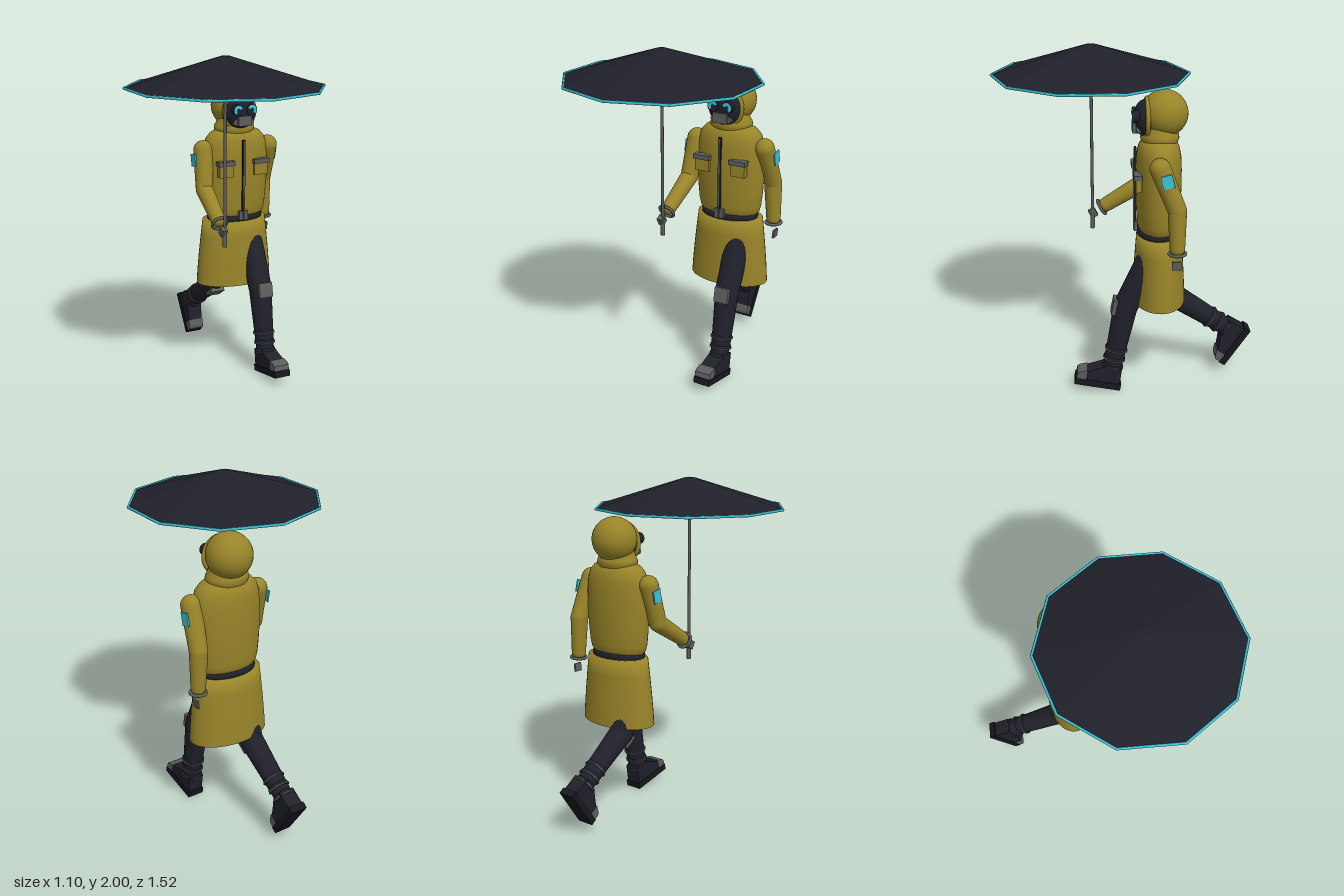
import * as THREE from 'three';

const mat = (name, color, side = THREE.FrontSide) => {
  const m = new THREE.MeshStandardMaterial({ color, side });
  m.name = name;
  return m;
};

const V = (x, y, z) => new THREE.Vector3(x, y, z);

export function createModel() {
  const yellow = mat('coat yellow', 0x988429, THREE.DoubleSide);
  const dark = mat('dark navy', 0x20202b, THREE.DoubleSide);
  const black = mat('sole black', 0x17171d);
  const grey = mat('grey', 0x5c5e5d);
  const teal = mat('teal', 0x3cc4d6);

  const model = new THREE.Group();
  model.name = 'walkerWithUmbrella';

  const add = (name, geo, material, x = 0, y = 0, z = 0, parent = model) => {
    const m = new THREE.Mesh(geo, material);
    m.name = name;
    m.position.set(x, y, z);
    parent.add(m);
    return m;
  };
  const box = (name, w, h, d, material, x, y, z, parent) =>
    add(name, new THREE.BoxGeometry(w, h, d), material, x, y, z, parent);

  // Elliptical shell turned from [radius, y] points
  const shell = (name, pts, material, x, z, squash) => {
    const m = add(name, new THREE.LatheGeometry(pts.map((p) => new THREE.Vector2(...p)), 40), material, x, 0, z);
    m.scale.z = squash;
    return m;
  };

  // Tapered limb with round ends, running from a to b
  const limb = (name, a, b, ra, rb, material, parent) => {
    const len = a.distanceTo(b);
    const pts = [];
    for (let i = 0; i <= 8; i++) {
      const t = (i / 8 - 1) * Math.PI / 2;
      pts.push(new THREE.Vector2(Math.max(ra * Math.cos(t), 0), ra * Math.sin(t)));
    }
    for (let i = 0; i <= 8; i++) {
      const t = (i / 8) * Math.PI / 2;
      pts.push(new THREE.Vector2(Math.max(rb * Math.cos(t), 0), len + rb * Math.sin(t)));
    }
    const m = add(name, new THREE.LatheGeometry(pts, 24), material, a.x, a.y, a.z, parent);
    m.quaternion.setFromUnitVectors(V(0, 1, 0), b.clone().sub(a).normalize());
    return m;
  };

  // Side profile (forward, up) given a width across x
  const sidePlate = (pts, width) => {
    const g = new THREE.ExtrudeGeometry(new THREE.Shape(pts.map((p) => new THREE.Vector2(...p))),
      { depth: width, bevelEnabled: false });
    return g.translate(0, 0, -width / 2).rotateY(-Math.PI / 2);
  };

  // Umbrella
  const ux = -0.005, uz = 0.19;
  const canopy = new THREE.CylinderGeometry(0.025, 0.566, 0.17, 10, 1, true).toNonIndexed();
  canopy.computeVertexNormals();
  add('umbrellaCanopy', canopy, dark, ux, 1.915, uz);
  const cap = add('umbrellaCap', new THREE.CircleGeometry(0.025, 10), dark, ux, 2, uz);
  cap.rotation.set(-Math.PI / 2, 0, Math.PI / 2);
  const rim = add('umbrellaRim', new THREE.TorusGeometry(0.565, 0.008, 6, 10), teal, ux, 1.83, uz);
  rim.rotation.set(-Math.PI / 2, 0, Math.PI / 2);
  add('umbrellaPole', new THREE.CylinderGeometry(0.009, 0.009, 1.0, 12), grey, ux, 1.48, uz);
  add('umbrellaHandle', new THREE.CylinderGeometry(0.013, 0.013, 0.1, 12), grey, ux, 0.945, uz);

  // Coat
  const cx = 0.242, cz = -0.18;
  shell('coatTorso', [[0, 0.972], [0.15, 0.974], [0.175, 0.985], [0.19, 1.005], [0.199, 1.04], [0.207, 1.12],
    [0.213, 1.22], [0.213, 1.34], [0.206, 1.42], [0.19, 1.47], [0.16, 1.503], [0.11, 1.525], [0, 1.53]],
  yellow, cx, cz, 0.61);
  shell('coatSkirt', [[0.248, 0.55], [0.243, 0.63], [0.232, 0.75], [0.22, 0.86], [0.208, 0.96], [0, 0.96]],
    yellow, cx, -0.187, 0.62);
  shell('belt', [[0.155, 0.95], [0.176, 0.955], [0.18, 0.972], [0.176, 0.99], [0.155, 0.995]], dark, cx, cz, 0.68);
  box('beltBuckle', 0.06, 0.055, 0.02, grey, 0.237, 1.0, -0.052);
  box('zipper', 0.018, 0.5, 0.012, dark, 0.237, 1.217, -0.048);
  box('zipperTeeth', 0.008, 0.49, 0.006, grey, 0.237, 1.217, -0.041);
  for (const s of [-1, 1]) {
    const pocket = new THREE.Group();
    pocket.name = 'chestPocket';
    pocket.position.set(0.237 + s * 0.117, 0, -0.06);
    box('pocketBag', 0.092, 0.085, 0.034, yellow, 0, 1.29, 0, pocket);
    box('pocketFlap', 0.106, 0.028, 0.045, grey, 0, 1.332, 0.005, pocket);
    model.add(pocket);
  }

  // Hood, collar and masked face
  const hx = 0.238;
  add('hood', new THREE.SphereGeometry(0.132, 36, 24), yellow, hx, 1.658, -0.21);
  shell('collar', [[0.118, 1.5], [0.127, 1.52], [0.125, 1.54], [0.113, 1.56], [0.1, 1.6]], yellow, hx, -0.185, 0.86);
  const hoodRim = add('hoodRim', new THREE.TorusGeometry(0.102, 0.013, 12, 36), yellow, hx, 1.635, -0.113);
  hoodRim.scale.y = 1.04;
  const face = add('face', new THREE.SphereGeometry(0.1, 28, 20), dark, hx, 1.632, -0.105);
  face.scale.set(0.97, 1.04, 0.68);
  const disc = (name, r, d, material, x, y, z) => {
    add(name, new THREE.CylinderGeometry(r, r, d, 20), material, x, y, z).rotation.x = Math.PI / 2;
  };
  for (const s of [-1, 1]) {
    disc('goggle', 0.034, 0.04, dark, hx + s * 0.045, 1.65, -0.053);
    const glow = add('goggleGlow', new THREE.TorusGeometry(0.02, 0.011, 8, 18, Math.PI * 1.15), teal,
      hx + s * 0.045, 1.65, -0.034);
    glow.rotation.z = s > 0 ? -0.9 : 0.9 - Math.PI * 0.15;
    glow.scale.z = 0.4;
    disc('maskFilter', 0.02, 0.03, grey, hx + s * 0.046, 1.575, -0.065);
  }
  box('respirator', 0.088, 0.06, 0.05, grey, hx, 1.585, -0.055);

  // Arms: shoulder, elbow, wrist
  const arm = (side, shoulder, elbow, wrist, patchX, patchZ, tilt) => {
    limb(side + 'UpperArm', shoulder, elbow, 0.059, 0.053, yellow);
    limb(side + 'Forearm', elbow, wrist, 0.053, 0.043, yellow);
    const dir = wrist.clone().sub(elbow).normalize();
    const c = wrist.clone().addScaledVector(dir, 0.03);
    const cuff = add(side + 'Cuff', new THREE.TorusGeometry(0.046, 0.009, 10, 28), grey, c.x, c.y, c.z);
    cuff.quaternion.setFromUnitVectors(V(0, 0, 1), dir);
    const patch = box(side + 'SleevePatch', 0.009, 0.075, 0.062, teal, patchX, 1.348, patchZ);
    patch.rotation.x = tilt;
  };
  arm('left', V(0.463, 1.405, -0.17), V(0.481, 1.17, -0.265), V(0.49, 0.95, -0.268), 0.524, -0.207, 0.25);
  arm('right', V(0.02, 1.405, -0.165), V(0.002, 1.175, -0.105), V(-0.01, 1.04, 0.11), -0.042, -0.163, -0.2);
  box('leftHand', 0.012, 0.05, 0.052, grey, 0.505, 0.853, -0.265).rotation.z = -0.1;
  box('rightHand', 0.034, 0.05, 0.042, grey, -0.014, 0.988, 0.187).rotation.x = 0.5;

  // Legs: thigh in place, shin and boot share a frame hung from the knee
  const leg = (side, hip, knee, angle, thighR) => {
    limb(side + 'Thigh', hip, knee, thighR, 0.072, dark);
    const g = new THREE.Group();
    g.name = side + 'LowerLeg';
    g.position.copy(knee);
    g.rotation.x = angle;
    model.add(g);
    limb('shin', V(0, 0, 0), V(0, -0.39, 0), 0.071, 0.055, dark, g);
    box('kneePad', 0.09, 0.092, 0.025, grey, 0, -0.005, 0.066, g);
    [0.28, 0.343, 0.4].forEach((d, i) => {
      const roll = add('ankleRoll', new THREE.TorusGeometry(0.046, 0.018, 10, 28), dark, 0, -d + 0.008, 0, g);
      const band = add('ankleBand', new THREE.TorusGeometry(0.064 - i * 0.002, 0.005, 8, 28), grey, 0, -d, 0, g);
      roll.rotation.x = band.rotation.x = Math.PI / 2;
    });
    add('boot', sidePlate([[-0.06, -0.505], [0.19, -0.505], [0.19, -0.458], [0.13, -0.43],
      [0.07, -0.4], [0.045, -0.385], [-0.055, -0.385]], 0.096), dark, 0, 0, 0, g);
    add('toeCap', sidePlate([[0.145, -0.49], [0.2, -0.49], [0.2, -0.458], [0.187, -0.446], [0.145, -0.43]], 0.1),
      grey, 0, 0, 0, g);
    box('sole', 0.104, 0.04, 0.275, black, 0, -0.509, 0.068, g);
  };
  leg('left', V(0.328, 0.81, -0.125), V(0.332, 0.53, 0.01), -0.2, 0.076);
  leg('right', V(0.148, 0.76, -0.175), V(0.143, 0.51, -0.283), 0.98, 0.085);

  return model;
}
